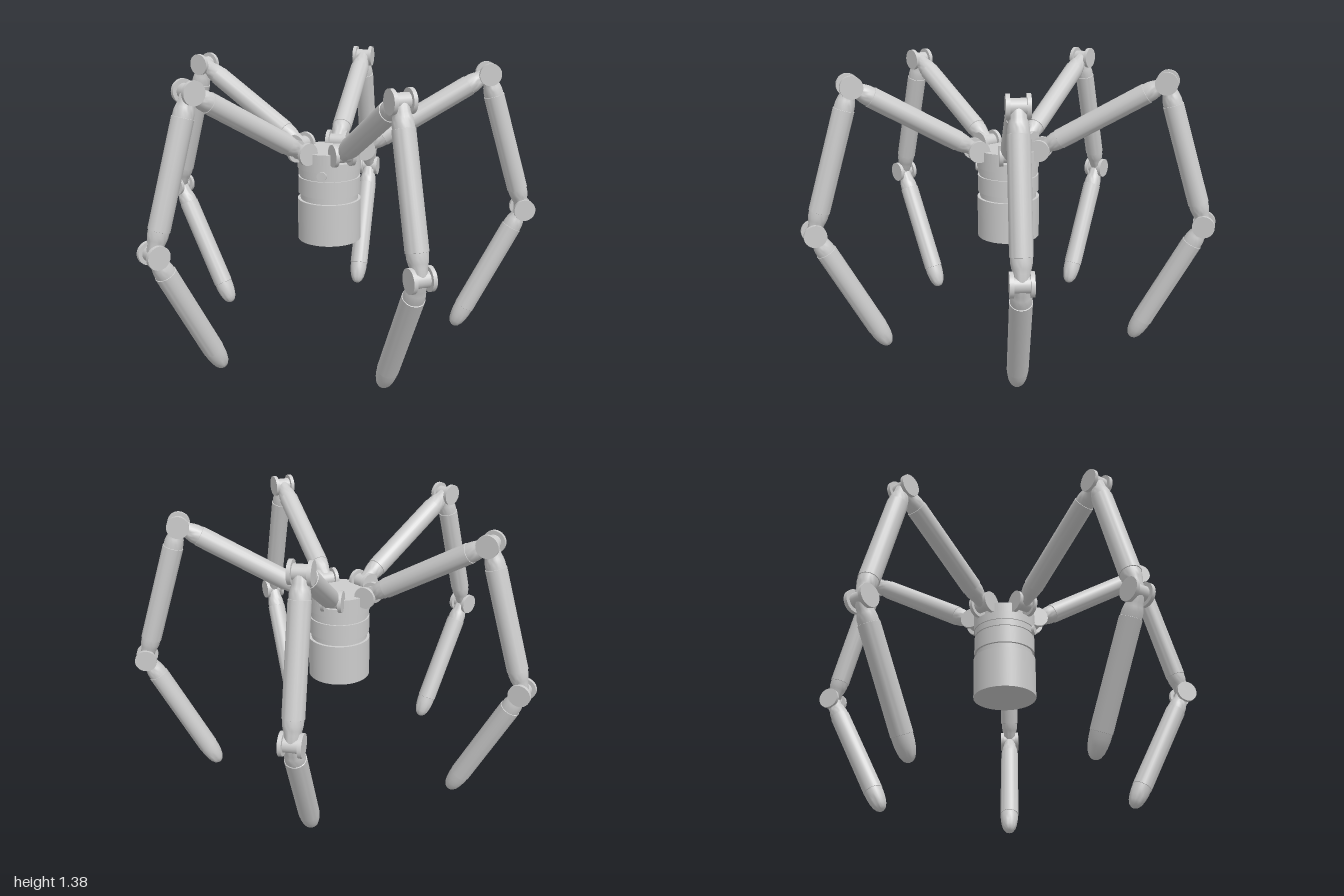
import * as THREE from 'three';
import { toCreasedNormals } from 'three/addons/utils/BufferGeometryUtils.js';

const material = new THREE.MeshStandardMaterial({ color: 0xcccccc });

function add(parent, name, geometry, x = 0, y = 0, z = 0) {
  const mesh = new THREE.Mesh(geometry, material);
  mesh.name = name;
  mesh.position.set(x, y, z);
  parent.add(mesh);
  return mesh;
}

// Smooth round limb between two points in the leg plane; profile rows are [radius, distance]
function limb(parent, name, a, b, endProfile) {
  const dx = b[0] - a[0], dy = b[1] - a[1], len = Math.hypot(dx, dy);
  const shoulder = [[0, -0.03], [0.022, -0.026], [0.034, 0], [0.036, 0.045], [0.042, 0.065], [0.046, 0.085], [0.047, 0.11], [0.05, 0.111]];
  const profile = [...shoulder, ...(endProfile || shoulder).map(([r, d]) => [r, len - d]).reverse()];
  const geometry = new THREE.LatheGeometry(profile.map(p => new THREE.Vector2(...p)), 28);
  const mesh = add(parent, name, toCreasedNormals(geometry, 0.6), a[0], a[1], 0);
  mesh.rotation.z = Math.atan2(dy, dx) - Math.PI / 2;
}

// Hinge: two side discs on a thinner pin
function hinge(parent, name, [x, y]) {
  const group = new THREE.Group();
  group.name = name;
  group.position.set(x, y, 0);
  group.rotation.x = Math.PI / 2;
  for (const s of [-1, 1]) add(group, 'hingeDisc', new THREE.CylinderGeometry(0.054, 0.054, 0.018, 32), 0, s * 0.043, 0);
  add(group, 'hingePin', new THREE.CylinderGeometry(0.036, 0.036, 0.07, 24));
  parent.add(group);
}

function createLeg(angle) {
  const leg = new THREE.Group();
  leg.name = 'leg';
  leg.rotation.y = angle;
  const hip = [0.168, 0.972], knee = [0.776, 1.33], ankle = [0.985, 0.643], tip = [0.652, 0.004];
  const bullet = [[0, 0], [0.014, 0.003], [0.026, 0.013], [0.036, 0.032], [0.043, 0.06], [0.047, 0.09], [0.048, 0.12], [0.05, 0.121]];
  limb(leg, 'upperLimb', hip, knee);
  limb(leg, 'middleLimb', knee, ankle);
  limb(leg, 'lowerLimb', ankle, tip, bullet);
  hinge(leg, 'hipHinge', hip);
  hinge(leg, 'kneeHinge', knee);
  hinge(leg, 'ankleHinge', ankle);
  return leg;
}

// Top of the hub, with a slot for every hip
function crownGeometry(angles, r, height) {
  const shape = new THREE.Shape();
  const half = 0.053, inner = 0.112, spread = Math.asin(half / r);
  angles.forEach((a, i) => {
    const c = Math.cos(a), s = Math.sin(a);
    const corner = (u, v) => [u * c - v * s, u * s + v * c];
    const outer = Math.sqrt(r * r - half * half);
    if (i === 0) shape.moveTo(...corner(outer, -half));
    shape.lineTo(...corner(inner, -half));
    shape.lineTo(...corner(inner, half));
    shape.lineTo(...corner(outer, half));
    shape.absarc(0, 0, r, a + spread, a + Math.PI * 0.4 - spread, false);
  });
  const geometry = new THREE.ExtrudeGeometry(shape, { depth: height, bevelEnabled: false, curveSegments: 10 });
  return toCreasedNormals(geometry.rotateX(-Math.PI / 2), 0.6);
}

export function createModel() {
  const model = new THREE.Group();
  model.name = 'fiveLeggedWalker';
  const body = new THREE.Group();
  body.name = 'body';
  body.position.set(-0.005, 0, 0.08);
  model.add(body);

  // Hub sections: name, radius, bottom, top
  const sections = [
    ['lowerDrum', 0.157, 0.512, 0.721],
    ['groove', 0.143, 0.721, 0.752],
    ['middleRing', 0.154, 0.752, 0.836],
    ['thinGroove', 0.146, 0.836, 0.847],
    ['knobBand', 0.152, 0.847, 0.88],
    ['upperDrum', 0.157, 0.88, 0.922],
  ];
  for (const [name, r, y0, y1] of sections) {
    add(body, name, new THREE.CylinderGeometry(r, r, y1 - y0, 48), 0, (y0 + y1) / 2, 0);
  }

  const angles = [0, 1, 2, 3, 4].map(i => THREE.MathUtils.degToRad(16.8 + 72 * i));
  add(body, 'slottedCrown', crownGeometry(angles, 0.157, 0.048), 0, 0.922, 0);

  // Small front knob
  add(body, 'frontKnob', new THREE.CylinderGeometry(0.024, 0.024, 0.03, 20), 0, 0.866, 0.15).rotation.x = Math.PI / 2;

  for (const a of angles) body.add(createLeg(a));
  return model;
}
